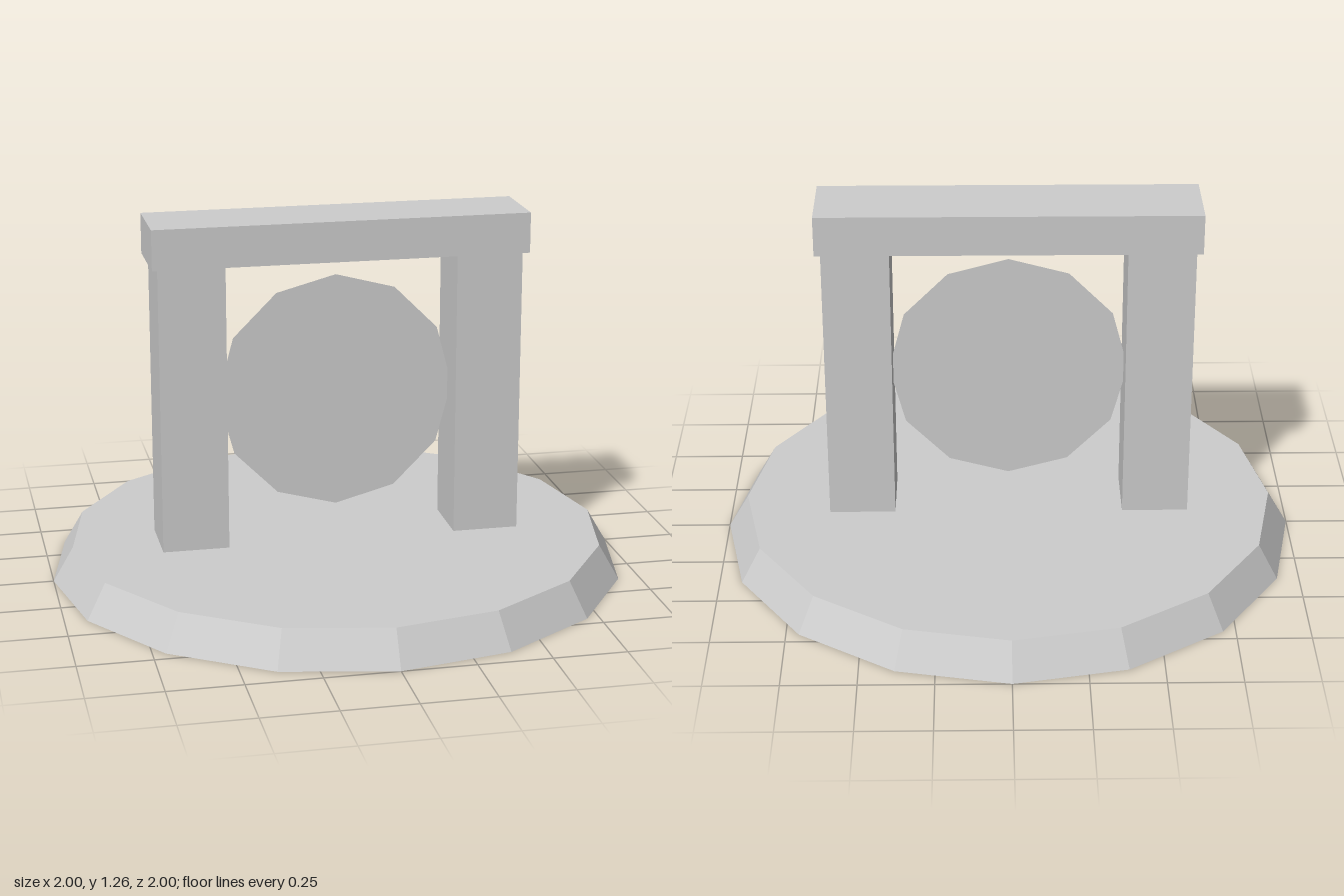
import * as THREE from 'three';

export function createModel() {
  const group = new THREE.Group();
  const stone = new THREE.MeshStandardMaterial({ color: 0xcccccc, flatShading: true, side: THREE.DoubleSide });
  stone.name = 'pale grey';

  const add = (name, geometry, x, y, z) => {
    const mesh = new THREE.Mesh(geometry, stone);
    mesh.name = name;
    mesh.position.set(x, y, z);
    group.add(mesh);
  };

  // Sixteen-sided sloping base, open underneath
  add('baseRim', new THREE.CylinderGeometry(0.93, 1, 0.12, 16, 1, true), 0, 0.06, 0);
  const top = new THREE.CircleGeometry(0.93, 16);
  top.rotateX(-Math.PI / 2);
  add('baseTop', top, 0, 0.12, 0);

  // Two square posts carrying a lintel
  for (const [name, side] of [['leftPost', 1], ['rightPost', -1]]) {
    add(name, new THREE.BoxGeometry(0.23, 1, 0.23), side * 0.515, 0.62, 0);
  }
  add('lintel', new THREE.BoxGeometry(1.3, 0.14, 0.27), 0, 1.19, 0);

  // Flat twelve-sided disc filling the gateway
  add('disc', new THREE.CircleGeometry(0.415, 12), 0, 0.63, 0);

  return group;
}
